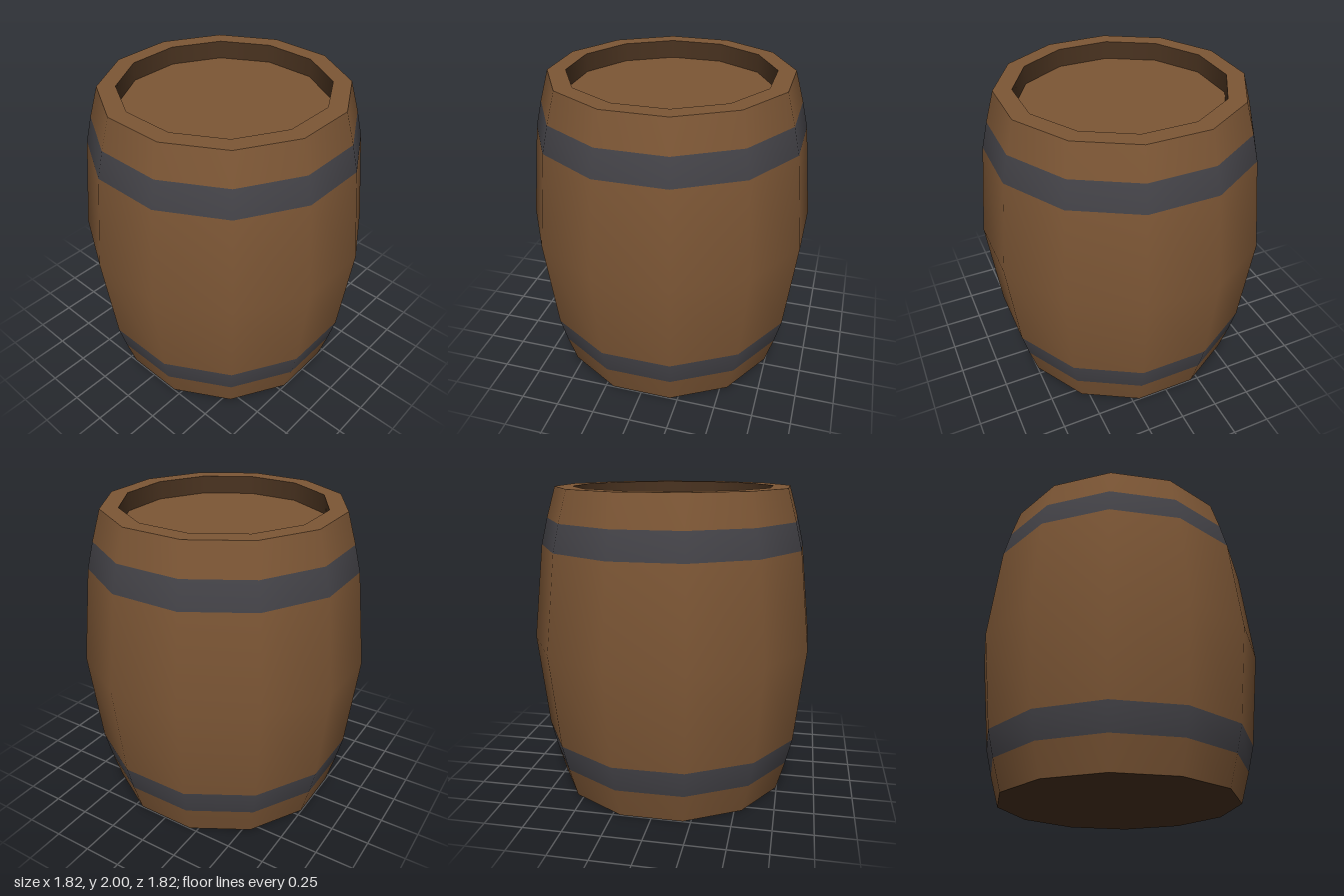
import * as THREE from 'three';

const SIDES = 12;
const wood = new THREE.MeshStandardMaterial({ name: 'brown wood', color: 0x7c5635 });
const darkWood = new THREE.MeshStandardMaterial({ name: 'dark wood', color: 0x4a3320 });
const iron = new THREE.MeshStandardMaterial({ name: 'dark iron', color: 0x444348 });

// Twelve-sided turned shape; points are [distance to the flat side, height]
function turned(points) {
  const k = 1 / Math.cos(Math.PI / SIDES);
  const profile = points.map(([r, y]) => new THREE.Vector2(r * k, y));
  const geometry = new THREE.LatheGeometry(profile, SIDES, Math.PI / SIDES);
  geometry.normalizeNormals();
  return geometry;
}

// Keeps only one ring of faces of a turned shape, with its smooth normals
function ring(geometry, row, rows) {
  const part = geometry.clone();
  const index = Array.from(geometry.index.array);
  part.setIndex(index.filter((_, i) => Math.floor(i / 6) % rows === row));
  return part;
}

export function createModel() {
  const barrel = new THREE.Group();
  barrel.name = 'barrel';
  const add = (name, geometry, material) => {
    const mesh = new THREE.Mesh(geometry, material);
    mesh.name = name;
    barrel.add(mesh);
  };

  // Bulging sides, with the hoops lying flush between the staves
  const outline = [
    [0.746, 0], [0.802, 0.2], [0.843, 0.373], [0.91, 1],
    [0.843, 1.627], [0.802, 1.8], [0.746, 2],
  ];
  const shell = turned(outline);
  const names = ['bottomStaves', 'lowerHoop', 'lowerMiddleStaves',
    'upperMiddleStaves', 'upperHoop', 'topStaves'];
  names.forEach((name, row) => {
    add(name, ring(shell, row, names.length), name.endsWith('Hoop') ? iron : wood);
  });

  // Rim, recessed lid and base
  const lidY = 1.88;
  add('rim', turned([[0.746, 2], [0.635, 2]]), wood);
  add('rimInnerWall', turned([[0.635, 2], [0.635, lidY]]), darkWood);
  add('lid', turned([[0.635, lidY], [0, lidY]]), wood);
  add('base', turned([[0, 0], [0.746, 0]]), darkWood);

  return barrel;
}
